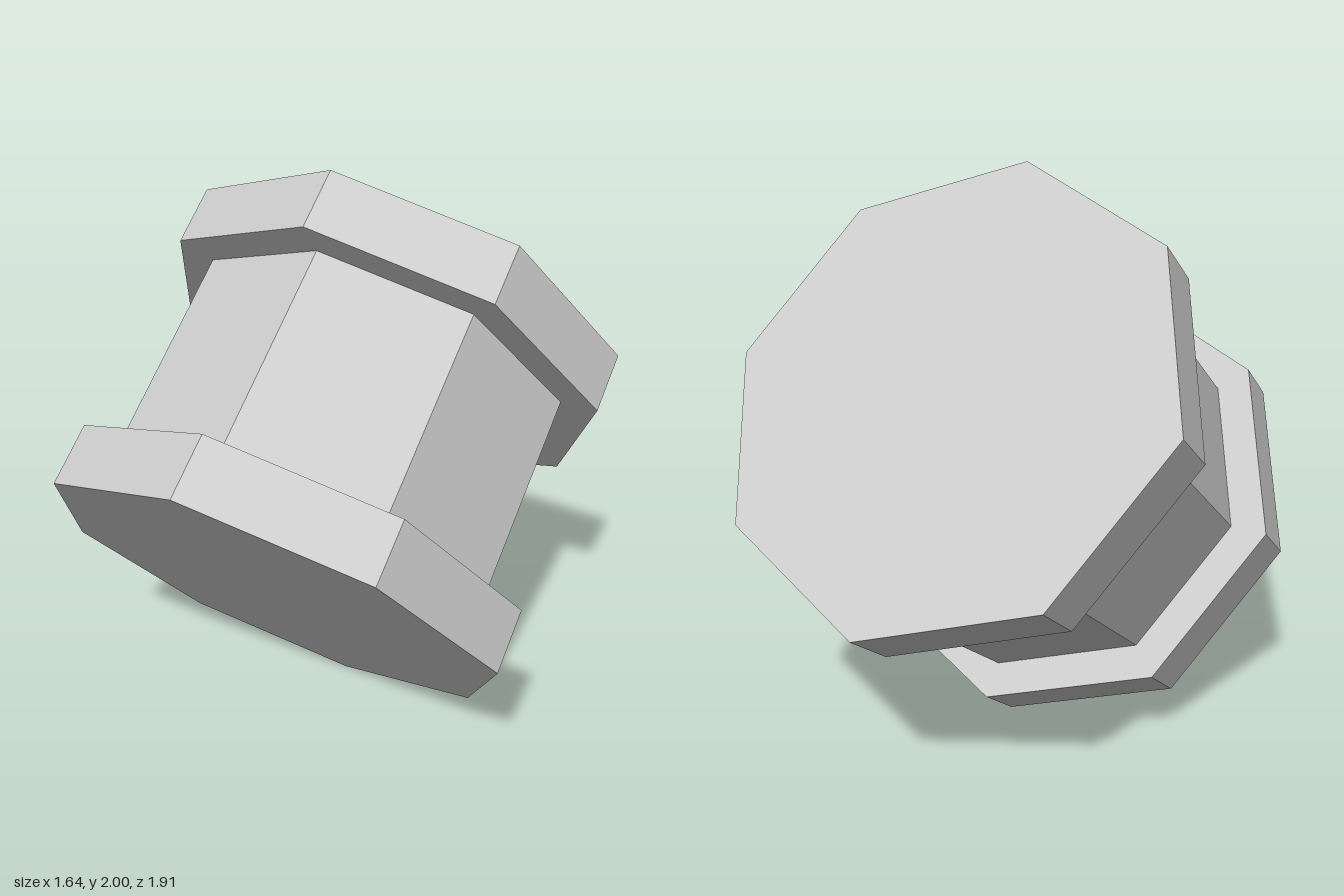
import * as THREE from 'three';

const SIDES = 8;
const LENGTH = 1.152;     // overall length along the spool axis
const RIM_HEIGHT = 0.214;
const RIM_RADIUS = 0.818;
const CORE_RADIUS = 0.69;
const TWIST = -0.009;     // slight roll about the axis

export function createModel() {
  const model = new THREE.Group();
  model.name = 'tiltedSpool';

  const grey = new THREE.MeshStandardMaterial({ color: 0xcccccc, flatShading: true });
  grey.name = 'light grey';

  // Octagonal drum centred at height y on the spool axis
  const addDrum = (name, radius, height, y, open) => {
    const geometry = new THREE.CylinderGeometry(radius, radius, height, SIDES, 1, open, TWIST);
    const mesh = new THREE.Mesh(geometry, grey);
    mesh.name = name;
    mesh.position.y = y;
    spool.add(mesh);
  };

  const spool = new THREE.Group();
  spool.name = 'spool';
  const rimY = (LENGTH - RIM_HEIGHT) / 2;

  // Core between two wider end rims
  addDrum('core', CORE_RADIUS, LENGTH - 2 * RIM_HEIGHT, 0, true);
  addDrum('upperRim', RIM_RADIUS, RIM_HEIGHT, rimY, false);
  addDrum('lowerRim', RIM_RADIUS, RIM_HEIGHT, -rimY, false);

  // Lean the axis back so the spool rests on one corner
  spool.rotation.x = -0.916;
  spool.position.y = 1;
  model.add(spool);
  return model;
}
